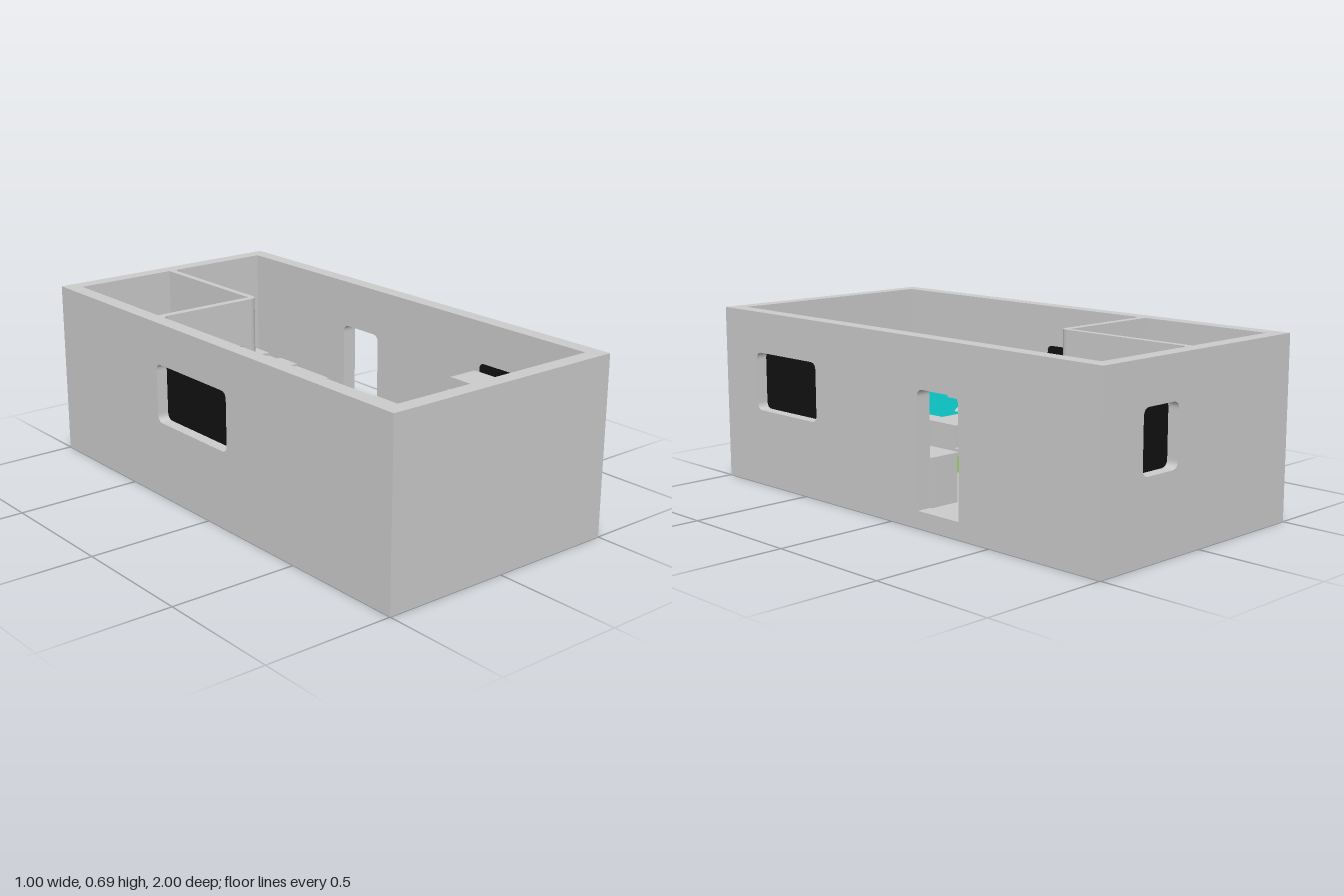
import * as THREE from 'three';
import { RoundedBoxGeometry } from 'three/addons/geometries/RoundedBoxGeometry.js';

const material = (color) => new THREE.MeshStandardMaterial({ color, side: THREE.DoubleSide });
const GREY = material(0xcccccc), BLACK = material(0x111111), CYAN = material(0x10e0e0);
const LIME = material(0x80e010), OLIVE = material(0x909000), BLUE = material(0x2030d0);
const H = 0.69, FLOOR = 0.065;

// Closed outline through [u, v, cornerRadius] points
function outline(points, target = new THREE.Shape()) {
  const n = points.length;
  points.forEach(([u, v, r = 0], i) => {
    const p = new THREE.Vector2(u, v);
    const toward = (q) => new THREE.Vector2(q[0], q[1]).sub(p).normalize().multiplyScalar(r).add(p);
    const a = toward(points[(i + n - 1) % n]), b = toward(points[(i + 1) % n]);
    if (i === 0) target.moveTo(a.x, a.y); else target.lineTo(a.x, a.y);
    if (r > 0) target.quadraticCurveTo(u, v, b.x, b.y);
  });
  target.closePath();
  return target;
}

// Rectangle with separate lower and upper corner radii
const rect = (u0, u1, v0, v1, low = 0, high = low) =>
  [[u0, v0, low], [u1, v0, low], [u1, v1, high], [u0, v1, high]];

function extrude(points, depth, holes = []) {
  const shape = outline(points);
  holes.forEach((h) => shape.holes.push(outline(h, new THREE.Path())));
  return new THREE.ExtrudeGeometry(shape, { depth, bevelEnabled: false, curveSegments: 8 });
}

export function createModel() {
  const model = new THREE.Group();

  function add(name, geometry, mat = GREY, parent = model) {
    const mesh = new THREE.Mesh(geometry, mat);
    mesh.name = name;
    parent.add(mesh);
    return mesh;
  }
  function group(name) {
    const g = new THREE.Group();
    g.name = name;
    model.add(g);
    return g;
  }
  function box(name, x0, x1, y0, y1, z0, z1, mat, parent, r = 0) {
    const s = [x1 - x0, y1 - y0, z1 - z0];
    const geo = r ? new RoundedBoxGeometry(...s, 3, r) : new THREE.BoxGeometry(...s);
    geo.translate((x0 + x1) / 2, (y0 + y1) / 2, (z0 + z1) / 2);
    return add(name, geo, mat, parent);
  }
  // Panel across x (outline in z, y), across z (outline in x, y), and slab from a plan (x, z)
  const panelX = (name, x0, x1, pts, holes, mat, parent) =>
    add(name, extrude(pts, x1 - x0, holes).rotateY(-Math.PI / 2).translate(x1, 0, 0), mat, parent);
  const panelZ = (name, z0, z1, pts, holes, mat, parent) =>
    add(name, extrude(pts, z1 - z0, holes).translate(0, 0, z0), mat, parent);
  const slab = (name, y0, y1, pts, mat, parent) =>
    add(name, extrude(pts.map(([x, z, r]) => [x, -z, r]), y1 - y0)
      .rotateX(-Math.PI / 2).translate(0, y0, 0), mat, parent);

  // Shell with window and door openings
  const shell = group('shell');
  box('floor', -0.44, 0.44, 0, FLOOR, -0.94, 0.94, GREY, shell);
  panelX('doorSideWall', 0.44, 0.5, rect(-1, 1, 0, H),
    [rect(0.43, 0.8, 0.3, 0.53, 0.03), rect(-0.35, -0.14, FLOOR, 0.505, 0, 0.03)], GREY, shell);
  panelX('windowSideWall', -0.5, -0.44, rect(-1, 1, 0, H), [rect(-0.32, 0.12, 0.3, 0.53, 0.03)], GREY, shell);
  panelZ('backWall', -1, -0.94, rect(-0.44, 0.44, 0, H), [rect(0.12, 0.3, 0.3, 0.53, 0.03)], GREY, shell);
  panelZ('frontWall', 0.94, 1, rect(-0.44, 0.44, 0, H), [], GREY, shell);

  // Dark window panes
  const panes = group('windowPanes');
  panelX('doorSidePane', 0.445, 0.455, rect(0.43, 0.8, 0.3, 0.53, 0.03), [], BLACK, panes);
  panelX('windowSidePane', -0.455, -0.445, rect(-0.32, 0.12, 0.3, 0.53, 0.03), [], BLACK, panes);
  panelZ('backPane', -0.955, -0.945, rect(0.12, 0.3, 0.3, 0.53, 0.03), [], BLACK, panes);

  // Bathroom partition with doorway, rounded corner and wall fillets
  const partition = group('bathroomPartition');
  panelZ('doorwayPanel', -0.39, -0.36, rect(-0.44, -0.04, FLOOR, H),
    [rect(-0.235, -0.06, FLOOR + 0.002, 0.51, 0, 0.03)], GREY, partition);
  box('sidePanel', -0.02, 0.005, FLOOR, H, -0.94, -0.4, GREY, partition);
  slab('cornerPost', FLOOR, H,
    [[-0.04, -0.36], [0.005, -0.36, 0.035], [0.005, -0.4], [-0.02, -0.4, 0.01], [-0.02, -0.39], [-0.04, -0.39]], GREY, partition);
  const fillet = (x, z, dx, dz, r) => {
    const s = new THREE.Shape().moveTo(x, -z);
    s.lineTo(x + dx * r, -z);
    s.quadraticCurveTo(x, -z, x, -(z + dz * r));
    add('fillet', new THREE.ExtrudeGeometry(s, { depth: H - FLOOR, bevelEnabled: false, curveSegments: 8 })
      .rotateX(-Math.PI / 2).translate(0, FLOOR, 0), GREY, partition);
  };
  fillet(0.005, -0.94, 1, 1, 0.03);
  fillet(-0.44, -0.36, 1, 1, 0.03);

  // Low wall lining
  box('wallLiningRear', -0.44, -0.405, FLOOR, 0.255, -0.36, 0.2, CYAN);
  box('wallLiningFront', -0.44, -0.405, FLOOR, 0.255, 0.27, 0.94, CYAN);

  // Corner sofa
  const sofa = group('cornerSofa');
  const sofaPlan = [[-0.405, -0.2], [-0.285, -0.2], [-0.285, 0.08, 0.02], [0, 0.08, 0.02], [0, 0.2], [-0.405, 0.2]];
  slab('sofaBase', FLOOR, 0.13, sofaPlan, LIME, sofa);
  slab('sofaSeat', 0.13, 0.16, sofaPlan, GREY, sofa);
  box('sofaBack', -0.405, -0.365, 0.16, 0.19, -0.2, 0.2, GREY, sofa, 0.01);

  // Divider cabinet behind the sofa, with two shelves on flared posts
  const divider = group('divider');
  box('dividerCabinet', -0.405, -0.005, FLOOR, 0.25, 0.2, 0.36, GREY, divider);
  box('upperShelf', -0.44, -0.03, 0.42, 0.432, 0.2, 0.27, GREY, divider);
  box('lowerShelf', -0.44, -0.03, 0.35, 0.362, 0.2, 0.27, GREY, divider);
  const flaredPost = [[-0.04, 0], [0.04, 0], [0.012, 0.02, 0.01], [0.012, 0.04, 0.01], [0.04, 0.06], [-0.04, 0.06], [-0.012, 0.04, 0.01], [-0.012, 0.02, 0.01]];
  for (const x of [-0.37, -0.235, -0.1]) {
    for (const y of [0.361, 0.291])
      panelZ('shelfPost', 0.205, 0.265, flaredPost.map(([u, v, r]) => [u + x, v + y, r]), [], GREY, divider);
    box('shelfLeg', x - 0.01, x + 0.01, 0.25, 0.3, 0.225, 0.245, GREY, divider);
  }

  // Front peninsula unit with bolster
  slab('frontUnit', FLOOR, 0.2, [[-0.405, 0.84], [-0.25, 0.84, 0.02], [-0.25, 0.5, 0.03], [-0.005, 0.5, 0.03],
    [-0.005, 0.84, 0.02], [0.31, 0.84], [0.31, 0.94], [-0.405, 0.94]]);
  box('bolster', 0.03, 0.28, 0.2, 0.25, 0.845, 0.905, GREY, model, 0.02);

  // Tall wardrobe with rounded shoulder and door panels
  const wardrobe = group('wardrobe');
  panelX('wardrobeBody', 0.313, 0.44, [[0.375, FLOOR], [0.94, FLOOR], [0.94, 0.495], [0.375, 0.495, 0.05]], [], GREY, wardrobe);
  for (let c = 0; c < 3; c++)
    for (let r = 0; r < 5; r++)
      box('wardrobePanel', 0.309, 0.313, 0.075 + r * 0.075, 0.146 + r * 0.075, 0.4 + c * 0.178, 0.574 + c * 0.178, GREY, wardrobe);
  box('wardrobeHandle', 0.303, 0.309, 0.26, 0.29, 0.57, 0.58, BLUE, wardrobe);

  // Kitchen counter with coloured fronts
  const kitchen = group('kitchenCounter');
  box('counterBody', 0.315, 0.44, FLOOR, 0.235, -0.15, 0.372, GREY, kitchen);
  box('counterTop', 0.31, 0.44, 0.235, 0.25, -0.15, 0.374, GREY, kitchen);
  for (let i = 0; i < 4; i++)
    box('counterDoor', 0.306, 0.315, 0.08, 0.225, -0.14 + i * 0.128, -0.016 + i * 0.128, OLIVE, kitchen);

  // Rear worktop, basin and drawer fronts
  const rear = group('rearWorktop');
  slab('worktop', FLOOR, 0.25, [[0.08, -0.94], [0.44, -0.94], [0.44, -0.45], [0.34, -0.45, 0.03],
    [0.34, -0.85, 0.03], [0.08, -0.85]], GREY, rear);
  box('worktopBasin', 0.345, 0.44, 0.25, 0.26, -0.78, -0.665, GREY, rear);
  for (let i = 0; i < 3; i++)
    box('drawerFront', 0.334, 0.341, 0.08, 0.235, -0.81 + i * 0.108, -0.706 + i * 0.108, OLIVE, rear);

  // Shelves along the partition
  const shelves = group('partitionShelves');
  slab('upperShelf', 0.432, 0.444, [[0.005, -0.94], [0.08, -0.94], [0.08, -0.39], [0.005, -0.39]], GREY, shelves);
  slab('lowerShelf', 0.36, 0.372, [[0.005, -0.94], [0.08, -0.94], [0.08, -0.76, 0.02], [0.04, -0.74, 0.02],
    [0.04, -0.39], [0.005, -0.39]], GREY, shelves);
  for (const z of [-0.85, -0.67, -0.49])
    panelX('shelfPost', 0.01, 0.035, flaredPost.map(([u, v, r]) => [u + z, v + 0.372, r]), [], GREY, shelves);

  // Bathroom fittings
  const bath = group('bathroomFittings');
  box('toiletTank', -0.37, -0.29, FLOOR, 0.22, -0.94, -0.915, GREY, bath, 0.008);
  slab('toiletBowl', FLOOR, 0.16, [[-0.365, -0.915], [-0.295, -0.915], [-0.295, -0.83, 0.034], [-0.365, -0.83, 0.034]], GREY, bath);
  box('showerScreen', -0.213, -0.207, FLOOR, 0.45, -0.94, -0.81, GREY, bath);
  box('showerTray', -0.2, -0.025, FLOOR, 0.075, -0.94, -0.7, GREY, bath);
  box('showerPanel', -0.125, -0.04, 0.42, 0.428, -0.805, -0.7, GREY, bath);
  add('showerArm', new THREE.CylinderGeometry(0.006, 0.006, 0.07, 10).rotateZ(Math.PI / 2)
    .translate(-0.055, 0.434, -0.752), GREY, bath);
  for (let i = 0; i < 6; i++)
    box('towelRail', -0.435, -0.427, 0.22 + i * 0.03, 0.23 + i * 0.03, -0.88, -0.69, GREY, bath);
  for (const z of [-0.88, -0.7]) box('towelRailSide', -0.44, -0.428, 0.2, 0.4, z, z + 0.01, GREY, bath);
  slab('basinCabinet', FLOOR, 0.22, [[-0.44, -0.66], [-0.335, -0.66, 0.025], [-0.335, -0.465, 0.025], [-0.44, -0.465]], GREY, bath);
  const basin = add('basinRim', extrude(rect(-0.4, -0.345, 0.5, 0.625, 0.012), 0.015,
    [rect(-0.388, -0.355, 0.512, 0.613, 0.008)]).rotateX(-Math.PI / 2), GREY, bath);
  basin.position.y = 0.22;

  return model;
}
